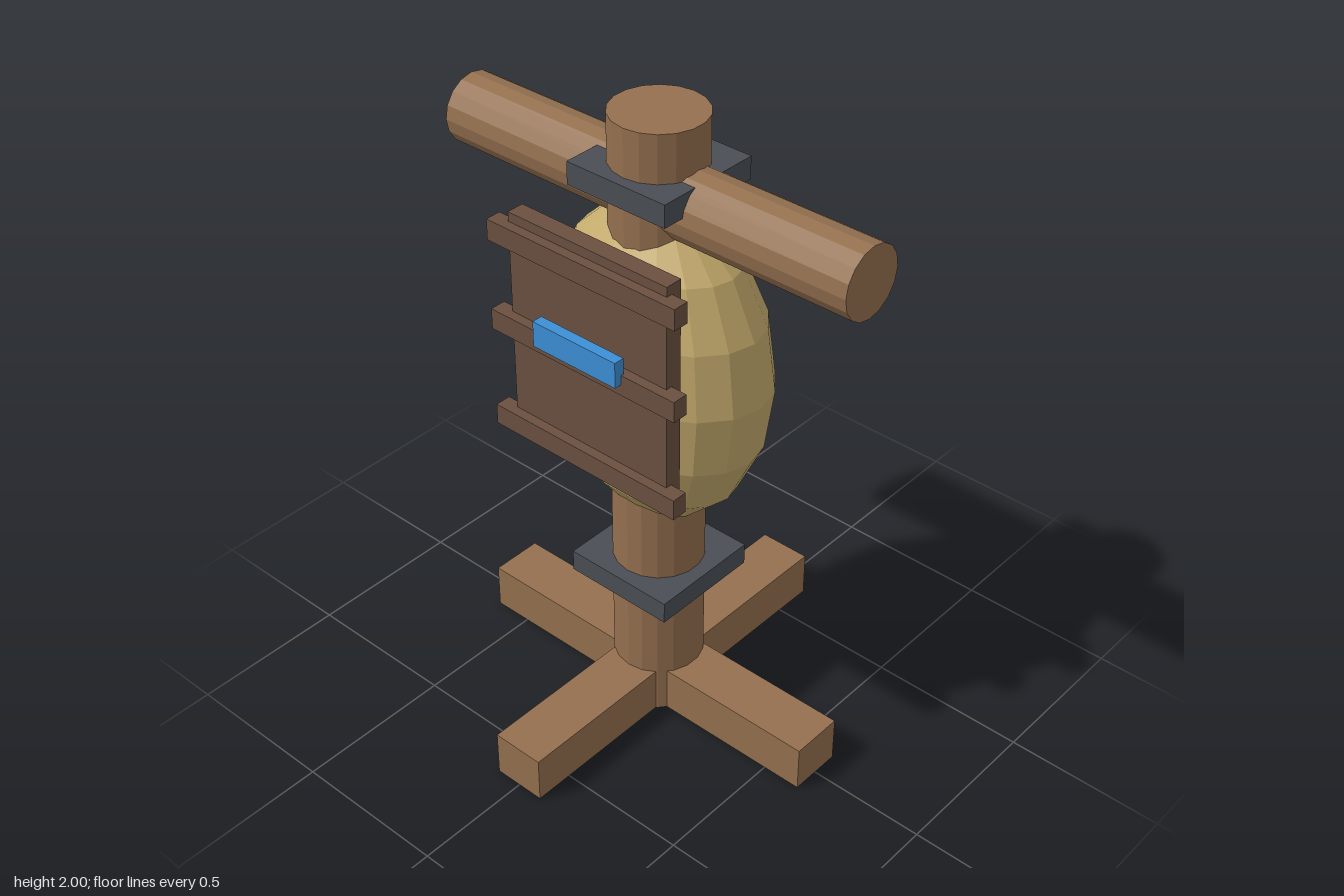
import * as THREE from 'three';

const mat = (color) => new THREE.MeshStandardMaterial({ color, flatShading: true });

export function createModel() {
  const model = new THREE.Group();
  model.name = 'trainingDummy';

  const wood = mat(0x94704f);
  const straw = mat(0xc4aa6c);
  const darkWood = mat(0x6b5040);
  const iron = mat(0x4a4f55);
  const blue = mat(0x3d8fd6);

  const add = (name, geometry, material, x, y, z) => {
    const mesh = new THREE.Mesh(geometry, material);
    mesh.name = name;
    mesh.position.set(x, y, z);
    model.add(mesh);
    return mesh;
  };
  const box = (name, material, size, x, y, z) =>
    add(name, new THREE.BoxGeometry(...size), material, x, y, z);

  // Crossed feet and upright post
  box('footAcross', wood, [1.25, 0.15, 0.17], 0, 0.075, 0);
  box('footAlong', wood, [0.17, 0.15, 1.25], 0, 0.075, 0);
  add('post', new THREE.CylinderGeometry(0.14, 0.14, 2, 18), wood, 0, 1, 0);

  // Crossbar for the arms
  const arms = new THREE.CylinderGeometry(0.107, 0.107, 1.41, 16);
  arms.rotateZ(Math.PI / 2);
  add('armBar', arms, wood, 0, 1.765, 0);

  // Stuffed body, a flattened low-poly ellipsoid
  const body = new THREE.SphereGeometry(1, 18, 8);
  body.scale(0.37, 0.52, 0.26);
  add('body', body, straw, 0, 1.22, 0);

  // Square iron collars
  box('upperCollar', iron, [0.345, 0.07, 0.345], 0, 1.82, 0);
  box('lowerCollar', iron, [0.366, 0.07, 0.366], 0, 0.492, 0);

  // Chest board with three battens and a coloured marker
  box('chestBoard', darkWood, [0.565, 0.695, 0.055], 0, 1.3625, 0.261);
  for (const y of [1.038, 1.362, 1.648]) {
    box('batten', darkWood, [0.67, 0.065, 0.05], 0, y, 0.294);
  }
  box('marker', blue, [0.3, 0.08, 0.034], 0, 1.405, 0.326);

  return model;
}
